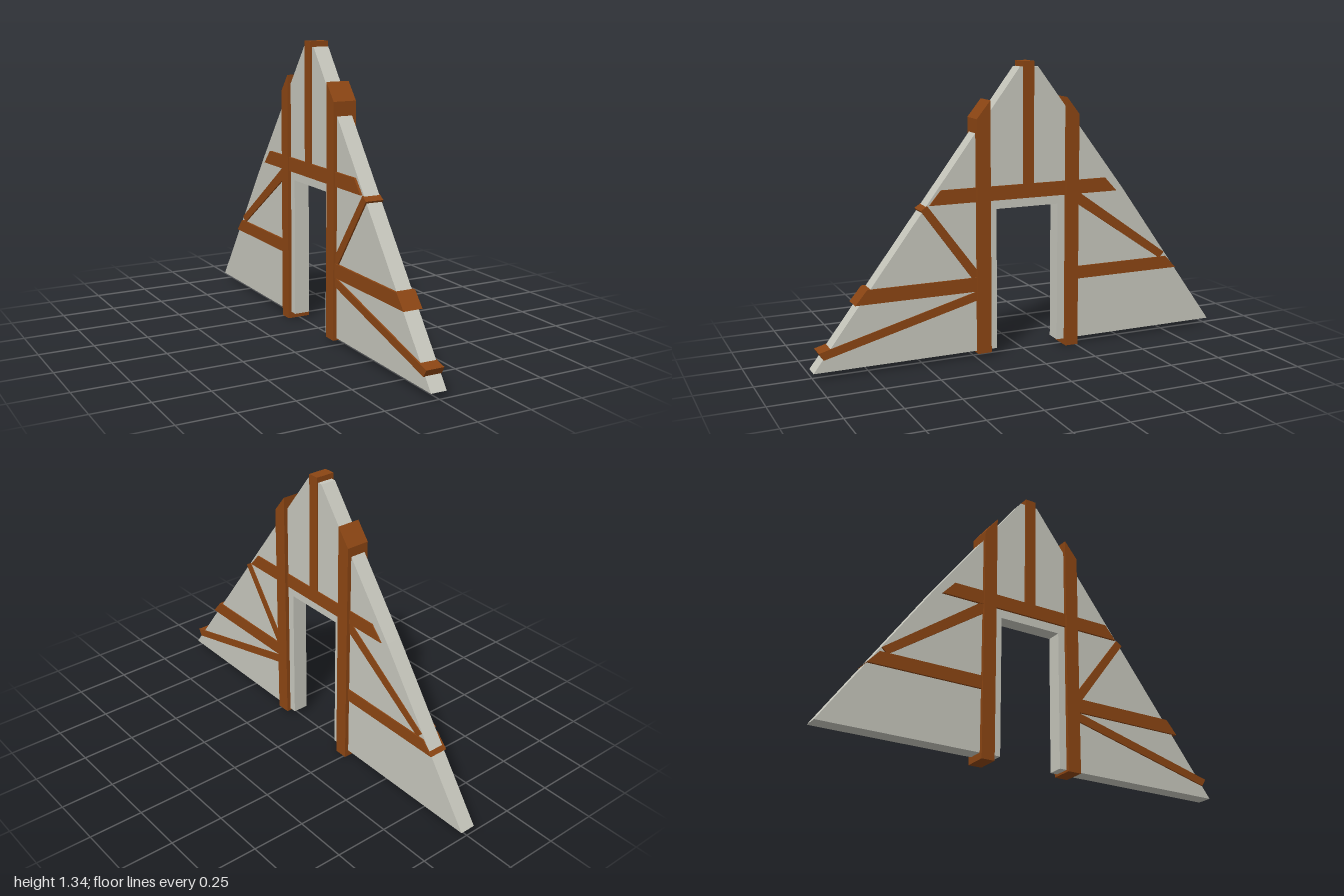
import * as THREE from 'three';

const timber = new THREE.MeshStandardMaterial({ color: 0x8b4513, flatShading: true });
const plaster = new THREE.MeshStandardMaterial({ color: 0xc6c6bc, flatShading: true });

// Extrudes a side outline of [z, y] points across x from x0 to x1
function slab(name, points, x0, x1, material) {
  const shape = new THREE.Shape(points.map(([z, y]) => new THREE.Vector2(z, y)));
  const geometry = new THREE.ExtrudeGeometry(shape, { depth: x1 - x0, bevelEnabled: false });
  geometry.rotateY(-Math.PI / 2).translate(x1, 0, 0);
  const mesh = new THREE.Mesh(geometry, material);
  mesh.name = name;
  return mesh;
}

export function createModel() {
  const group = new THREE.Group();
  group.name = 'timberFramedGable';

  // Gable wall with a doorway open at the bottom
  group.add(slab('gableWall', [
    [1, 0.03], [0.03, 1.31], [-0.06, 1.31], [-0.5, 0.73], [-1, 0.03],
    [-0.16, 0.03], [-0.16, 0.68], [0.145, 0.68], [0.145, 0.03],
  ], -0.04, 0.034, plaster));

  // Door posts with tops cut to the roof slope
  const posts = {
    frontPost: [[0.245, 0.02], [0.245, 1.09], [0.18, 1.17], [0.18, 0.02]],
    backPost: [[-0.197, 0], [-0.197, 1.17], [-0.26, 1.09], [-0.26, 0]],
  };
  for (const [name, points] of Object.entries(posts)) {
    group.add(slab(name, points, -0.057, 0.053, timber));
  }

  // Horizontal beams and the king post
  const beams = {
    kingPost: [[0.015, 0.76], [0.015, 1.335], [-0.038, 1.335], [-0.038, 0.76]],
    collarBeam: [[0.465, 0.72], [0.41, 0.785], [-0.405, 0.785], [-0.465, 0.72]],
    frontRail: [[0.81, 0.31], [0.755, 0.375], [0.22, 0.375], [0.22, 0.31]],
    backRail: [[-0.8, 0.315], [-0.745, 0.375], [-0.23, 0.375], [-0.23, 0.315]],
  };
  for (const [name, points] of Object.entries(beams)) {
    group.add(slab(name, points, -0.05, 0.04, timber));
  }

  // Diagonal braces, slightly thinner than the beams
  const braces = {
    frontUpperBrace: [[0.505, 0.7], [0.475, 0.72], [0.235, 0.4], [0.235, 0.33]],
    frontLowerBrace: [[0.975, 0.118], [0.955, 0.085], [0.235, 0.27], [0.235, 0.312]],
    backBrace: [[-0.25, 0.74], [-0.25, 0.68], [-0.71, 0.37], [-0.735, 0.397]],
  };
  for (const [name, points] of Object.entries(braces)) {
    group.add(slab(name, points, -0.047, 0.038, timber));
  }
  return group;
}
